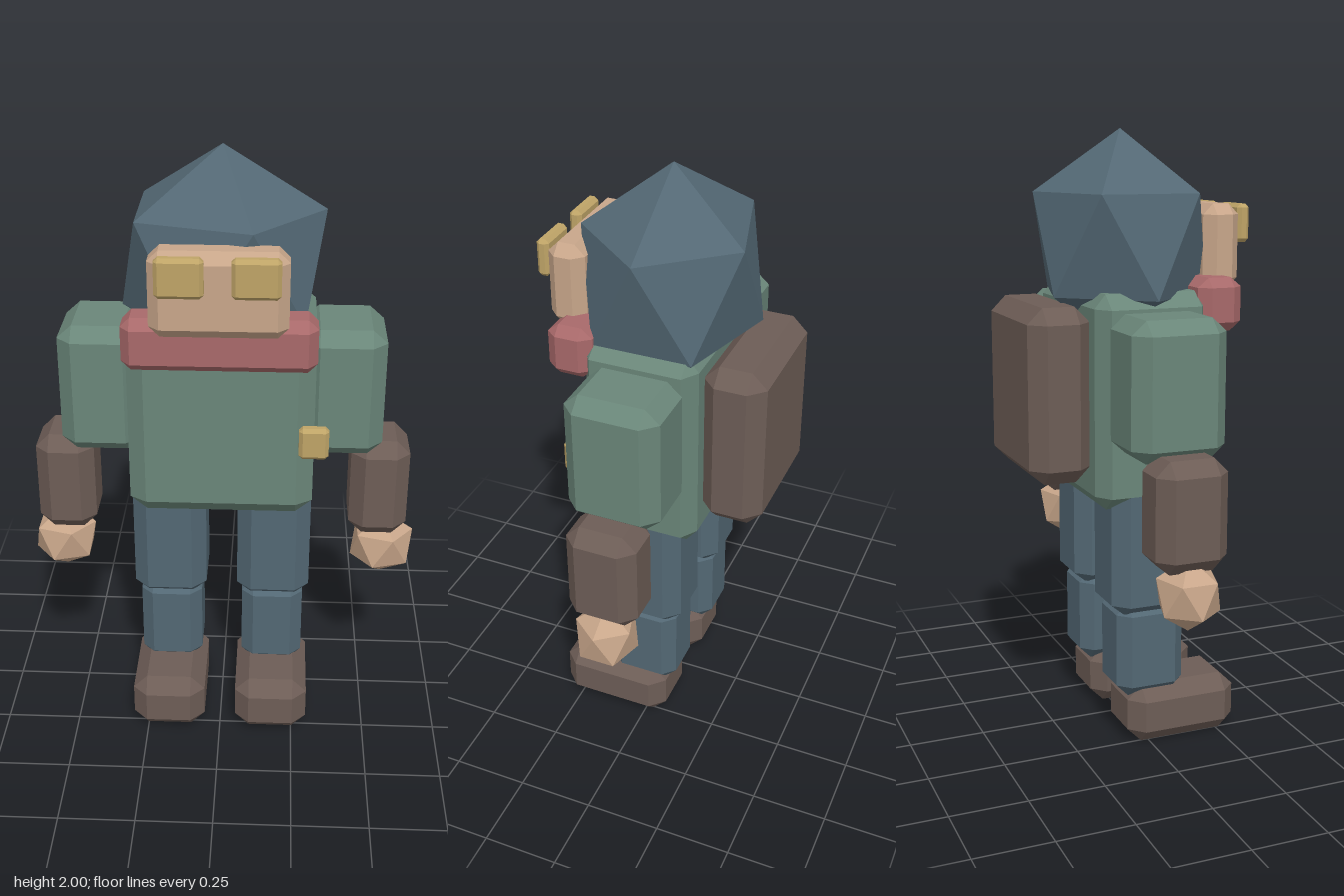
import * as THREE from 'three';
import { ConvexGeometry } from 'three/addons/geometries/ConvexGeometry.js';

const mat = (name, color) => {
  const m = new THREE.MeshStandardMaterial({ color, flatShading: true });
  m.name = name;
  return m;
};

// Box given by its [min, max] ranges, with flat chamfers of depth [bx, by, bz]
function chamferBox([x0, x1], [y0, y1], [z0, z1], bevel) {
  const b = Array.isArray(bevel) ? bevel : [bevel, bevel, bevel];
  const c = [(x0 + x1) / 2, (y0 + y1) / 2, (z0 + z1) / 2];
  const h = [(x1 - x0) / 2, (y1 - y0) / 2, (z1 - z0) / 2];
  const points = [];
  for (const sx of [-1, 1]) for (const sy of [-1, 1]) for (const sz of [-1, 1]) {
    const s = [sx, sy, sz];
    for (let axis = 0; axis < 3; axis++) {
      const p = s.map((d, i) => d * (i === axis ? h[i] : h[i] - b[i]));
      points.push(new THREE.Vector3(...p));
    }
  }
  return new ConvexGeometry(points).translate(...c);
}

// Icosahedron standing on a vertex, upper ring starting at +x
function uprightIco(r, depthScale) {
  const points = [new THREE.Vector3(0, r, 0), new THREE.Vector3(0, -r, 0)];
  const ring = r * 2 / Math.sqrt(5), y = r / Math.sqrt(5);
  for (let i = 0; i < 10; i++) {
    const a = i * Math.PI / 5;
    points.push(new THREE.Vector3(ring * Math.cos(a), i % 2 ? -y : y, ring * Math.sin(a) * depthScale));
  }
  return new ConvexGeometry(points);
}

export function createModel() {
  const group = new THREE.Group();
  group.name = 'figure';
  const green = mat('jacket green', 0x6a8679);
  const brown = mat('leather brown', 0x6d5d56);
  const blue = mat('slate blue', 0x536874);
  const skin = mat('skin', 0xc8a68a);
  const red = mat('scarf red', 0xa8696a);
  const gold = mat('brass', 0xbfa467);

  const add = (name, geometry, material) => {
    const mesh = new THREE.Mesh(geometry, material);
    mesh.name = name;
    group.add(mesh);
    return mesh;
  };
  const box = (name, material, x, y, z, bevel) => add(name, chamferBox(x, y, z, bevel), material);

  // Body, pack and scarf
  box('torso', green, [-0.3, 0.3], [0.815, 1.5], [-0.183, 0.193], [0.055, 0.045, 0.037]);
  box('backpack', brown, [-0.242, 0.242], [0.9, 1.46], [-0.383, -0.178], 0.05);
  box('scarf', red, [-0.3, 0.3], [1.37, 1.54], [0.155, 0.305], [0.03, 0.03, 0.037]);
  box('badge', gold, [0.25, 0.345], [1.05, 1.158], [0.195, 0.238], 0.012);

  // Head
  add('hood', uprightIco(0.36, 0.86), blue).position.set(0, 1.64, 0);
  box('face', skin, [-0.21, 0.21], [1.495, 1.765], [0.215, 0.338], 0.034);

  // Paired parts
  for (const s of [-1, 1]) {
    const side = s > 0 ? 'left' : 'right';
    const span = (a, b) => (s > 0 ? [a, b] : [-b, -a]);
    box(side + 'Lens', gold, span(0.04, 0.185), [1.64, 1.763], [0.336, 0.378], 0.012);
    box(side + 'UpperArm', green, span(0.262, 0.523), [1.012, 1.445], [-0.155, 0.155], [0.048, 0.043, 0.048]);
    box(side + 'Forearm', brown, span(0.428, 0.622), [0.69, 1.04], [-0.118, 0.118], 0.046);
    add(side + 'Hand', uprightIco(0.118, 0.93), skin).position.set(s * 0.55, 0.613, 0.003);
    box(side + 'Thigh', blue, span(0.053, 0.3), [0.45, 0.9], [-0.13, 0.142], [0.048, 0.04, 0.048]);
    box(side + 'Shin', blue, span(0.07, 0.28), [0.165, 0.49], [-0.108, 0.125], 0.04);
    box(side + 'Boot', brown, span(0.053, 0.3), [0, 0.2], [-0.073, 0.31], 0.048);
  }
  return group;
}
